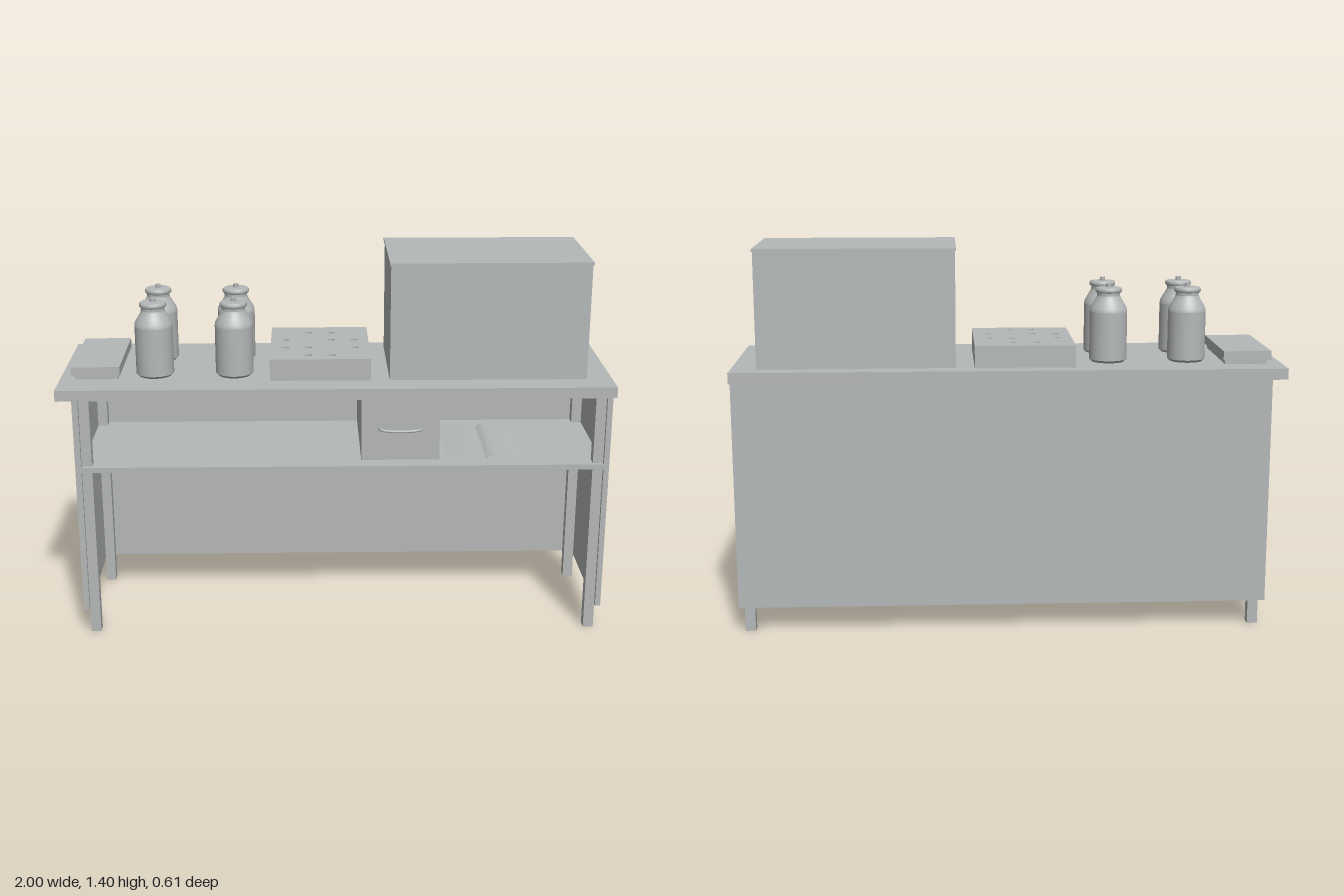
import * as THREE from 'three';

export function createModel() {
  const root = new THREE.Group();
  root.name = 'workbench';
  const grey = new THREE.MeshStandardMaterial({ color: 0xb5b8b8 });
  grey.name = 'light grey';
  const greySheet = grey.clone();
  greySheet.side = THREE.DoubleSide;

  const add = (name, geo, parent = root, mat = grey) => {
    const m = new THREE.Mesh(geo, mat);
    m.name = name;
    parent.add(m);
    return m;
  };
  // Box given by its limits on each axis
  const box = (name, x0, x1, y0, y1, z0, z1, parent = root) => {
    const m = add(name, new THREE.BoxGeometry(x1 - x0, y1 - y0, z1 - z0), parent);
    m.position.set((x0 + x1) / 2, (y0 + y1) / 2, (z0 + z1) / 2);
    return m;
  };

  // Table carcass
  const TOP = 0.975;
  box('tableTop', -1, 1, 0.935, TOP, -0.305, 0.305);
  box('rightPanel', -0.95, -0.928, 0.095, 0.935, -0.28, 0.255);
  box('leftPanel', 0.977, 0.997, 0.095, 0.935, -0.28, 0.255);
  box('backPanel', -0.928, 0.977, 0.095, 0.935, -0.28, -0.262);
  box('shelf', -0.928, 0.977, 0.645, 0.665, -0.262, 0.255);
  for (const x of [-0.929, 0.939])
    for (const z of [-0.262, 0.201])
      box('leg', x, x + 0.038, 0, 0.935, z, z + 0.039);

  // Drawer with bowed handle
  box('drawer', 0.092, 0.38, 0.665, 0.935, -0.262, 0.19);
  const bow = new THREE.CatmullRomCurve3([
    [0.157, 0.787, 0.188], [0.163, 0.787, 0.208], [0.19, 0.785, 0.218],
    [0.28, 0.785, 0.218], [0.307, 0.787, 0.208], [0.313, 0.787, 0.188],
  ].map(p => new THREE.Vector3(...p)));
  add('drawerHandle', new THREE.TubeGeometry(bow, 24, 0.005, 8));

  // Open booklet lying on the shelf: two gently arched pages
  for (const s of [-1, 1]) {
    const page = new THREE.PlaneGeometry(0.145, 0.37, 12, 1);
    page.rotateX(-Math.PI / 2);
    const p = page.attributes.position;
    for (let i = 0; i < p.count; i++) {
      const t = (s * p.getX(i) + 0.0725) / 0.145;
      p.setY(i, 0.002 + 0.012 * Math.sin(Math.PI * Math.pow(t, 0.6)));
    }
    page.computeVertexNormals();
    add('bookletPage', page, root, greySheet).position.set(0.555 + s * 0.0725, 0.665, 0.005);
  }

  // Large cabinet with thin lid
  box('cabinetBody', 0.193, 0.907, TOP, 1.395, -0.236, 0.201);
  box('cabinetLid', 0.189, 0.911, 1.395, 1.405, -0.24, 0.205);

  // Block with drilled holes
  const plate = new THREE.Shape();
  plate.moveTo(-0.24, -0.2).lineTo(0.125, -0.2).lineTo(0.125, 0.24).lineTo(-0.24, 0.24).closePath();
  const holes = [
    [-0.1, -0.16], [-0.015, -0.16], [-0.185, -0.06], [-0.015, -0.06], [0.07, -0.06],
    [-0.185, 0.045], [-0.1, 0.045], [0.07, 0.045], [-0.1, 0.145], [-0.015, 0.145],
  ];
  for (const [x, z] of holes) {
    const h = new THREE.Path();
    h.absarc(x, -z, 0.013, 0, Math.PI * 2, true);
    plate.holes.push(h);
  }
  const drilled = new THREE.ExtrudeGeometry(plate, { depth: 0.055, bevelEnabled: false, curveSegments: 16 });
  drilled.rotateX(-Math.PI / 2);
  add('drilledBlock', drilled).position.y = 1.0;
  box('drilledBlockBase', -0.24, 0.125, TOP, 1.0, -0.24, 0.2);

  // Low case with a recessed foot
  box('caseFoot', -0.945, -0.79, TOP, 0.99, -0.198, 0.168);
  box('caseTop', -0.957, -0.782, 0.99, 1.024, -0.21, 0.18);

  // Lidded jars; each profile section is lathed separately to keep its edges crisp
  const lathe = pts => new THREE.LatheGeometry(pts.map(q => new THREE.Vector2(...q)), 32);
  const sections = [
    ['jarBase', [[0, 0], [0.06, 0], [0.069, 0.009]]],
    ['jarBody', [[0.069, 0.009], [0.069, 0.185]]],
    ['jarShoulder', [[0.069, 0.185], [0.067, 0.198], [0.056, 0.217], [0.045, 0.235], [0.042, 0.243]]],
    ['jarNeck', [[0.042, 0.243], [0.042, 0.254]]],
    ['jarLidUnderside', [[0.038, 0.254], [0.045, 0.254]]],
    ['jarLidRim', [[0.045, 0.254], [0.049, 0.259], [0.049, 0.267], [0.045, 0.272]]],
    ['jarLidTop', [[0.045, 0.272], [0.02, 0.274], [0, 0.274]]],
  ];
  for (const x of [-0.66, -0.37])
    for (const z of [-0.105, 0.108]) {
      const jar = new THREE.Group();
      jar.name = 'jar';
      jar.position.set(x, TOP, z);
      for (const [name, pts] of sections) add(name, lathe(pts), jar);
      add('jarKnob', new THREE.CylinderGeometry(0.01, 0.01, 0.014, 16), jar).position.y = 0.28;
      root.add(jar);
    }

  return root;
}
